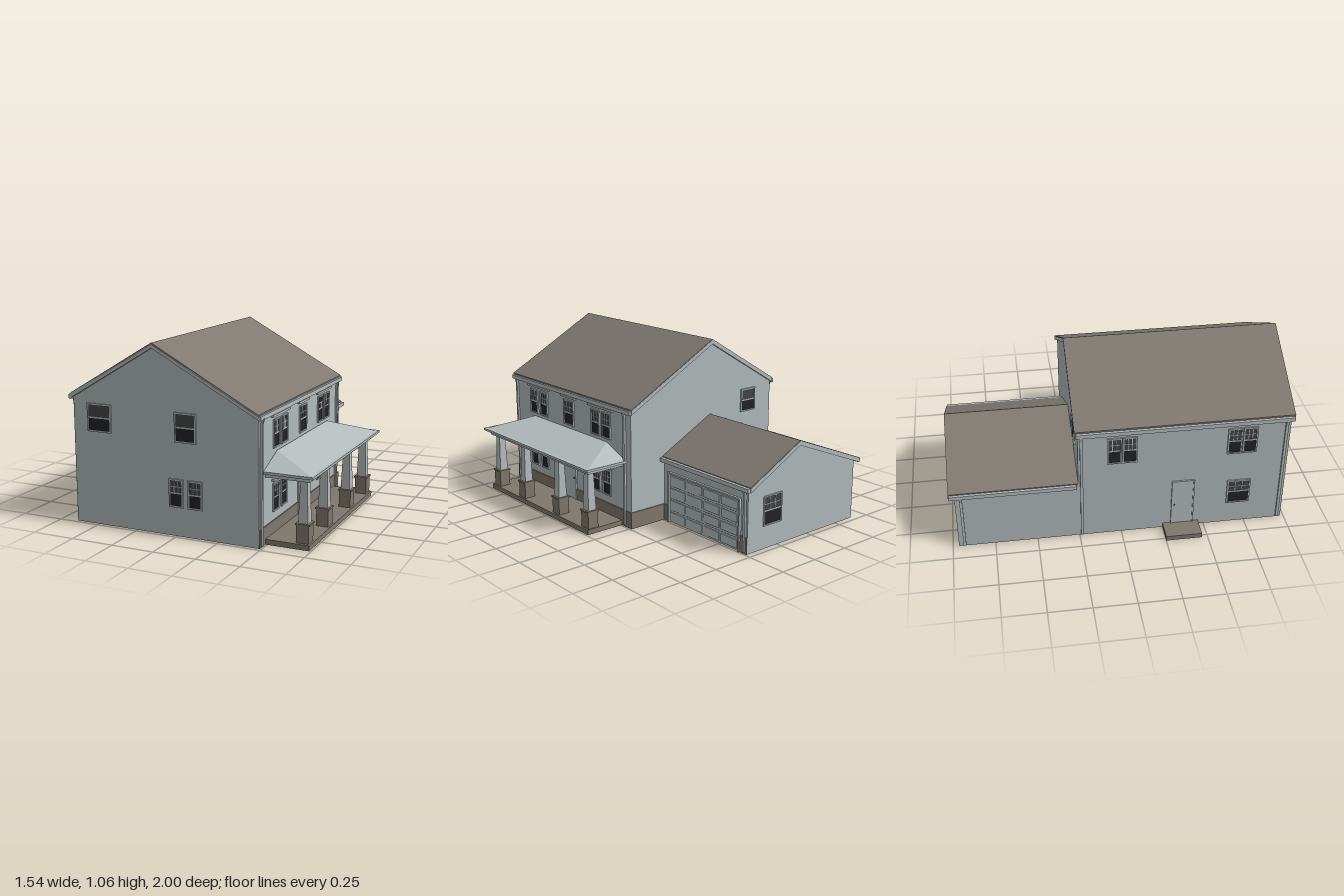
import * as THREE from 'three';

const mat = (name, color, side = THREE.FrontSide) => {
  const m = new THREE.MeshStandardMaterial({ color, side });
  m.name = name;
  return m;
};

export function createModel() {
  const siding = mat('siding', 0xb0b9bb, THREE.DoubleSide);
  const trim = mat('trim', 0xb4bcbe);
  const shingle = mat('shingle', 0x7f7971);
  const stone = mat('stone', 0x7f776d);
  const glass = mat('glass', 0x212324);
  const screen = mat('screenedGlass', 0x424544);

  const house = new THREE.Group();
  house.name = 'house';

  const add = (name, geo, material, parent = house) => {
    const m = new THREE.Mesh(geo, material);
    m.name = name;
    parent.add(m);
    return m;
  };
  // box given by its min and max on each axis
  const box = (name, material, x0, x1, y0, y1, z0, z1, parent = house) => {
    const m = add(name, new THREE.BoxGeometry(x1 - x0, y1 - y0, z1 - z0), material, parent);
    m.position.set((x0 + x1) / 2, (y0 + y1) / 2, (z0 + z1) / 2);
    return m;
  };
  const shape = (pts) => new THREE.Shape(pts.map(([x, y]) => new THREE.Vector2(x, y)));

  // ---- Walls: an open shell
  const L = -0.645, R = 0.485, G = 0.235, RIDGE = -0.13;
  const F = 0.98, B = -0.255, GB = -0.965;
  const endWall = (name, z, pts) => {
    add(name, new THREE.ShapeGeometry(shape(pts)), siding).position.z = z;
  };
  const sideWall = (name, x, h, z0, z1) => {
    const m = add(name, new THREE.PlaneGeometry(z1 - z0, h), siding);
    m.rotation.y = x > 0 ? Math.PI / 2 : -Math.PI / 2;
    m.position.set(x, h / 2, (z0 + z1) / 2);
  };
  endWall('frontGable', F, [[L, 0], [R, 0], [R, 0.71], [RIDGE, 1.045], [L, 0.735]]);
  endWall('backGable', B, [[G, 0], [R, 0], [R, 0.71], [RIDGE, 1.045], [L, 0.735], [L, 0.375], [RIDGE, 0.58], [G, 0.385]]);
  endWall('garageGable', GB, [[L, 0], [G, 0], [G, 0.385], [RIDGE, 0.58], [L, 0.375]]);
  sideWall('porchSideWall', R, 0.71, B, F);
  sideWall('rearSideWall', L, 0.735, B, F);
  sideWall('garageDoorWall', G, 0.385, GB, B);
  sideWall('garageRearWall', L, 0.375, GB, B);

  // ---- Roofs: thin shingled chevrons with rake boards at the ends
  const chevron = (name, material, [a, b, c], t, z0, z1) => {
    const geo = new THREE.ExtrudeGeometry(
      shape([a, b, c, [c[0], c[1] - t], [b[0], b[1] - t], [a[0], a[1] - t]]),
      { depth: z1 - z0, bevelEnabled: false });
    add(name, geo, material).position.z = z0;
  };
  const roof = (name, pts, z0, z1, ends) => {
    chevron(name, shingle, pts, 0.012, z0, z1);
    const lower = pts.map(([x, y]) => [x, y - 0.003]);
    for (const [a, b] of ends) chevron(name + 'RakeBoard', trim, lower, 0.026, a, b);
  };
  roof('mainRoof', [[-0.65, 0.75], [RIDGE, 1.06], [0.49, 0.725]], -0.27, 1, [[-0.272, -0.257], [0.982, 1]]);
  roof('garageRoof', [[-0.65, 0.39], [RIDGE, 0.595], [0.25, 0.4]], -0.998, B, [[-1, -0.967]]);

  // ---- Gutters and downspouts
  box('gutter', trim, -0.667, -0.647, 0.715, 0.74, -0.265, 0.995);
  box('gutter', trim, 0.485, 0.503, 0.692, 0.716, -0.265, 0.995);
  box('gutter', trim, -0.667, -0.647, 0.36, 0.384, -0.995, -0.265);
  box('gutter', trim, 0.236, 0.27, 0.372, 0.396, -0.995, -0.258);
  const downspout = (x, z, h) => {
    const s = Math.sign(x);
    const [x0, x1] = s > 0 ? [x, x + 0.012] : [x - 0.012, x];
    box('downspout', trim, x0, x1, 0.01, h - 0.03, z - 0.008, z + 0.008);
    const elbow = box('downspoutElbow', trim, x0, x1, h - 0.035, h, z - 0.008, z + 0.008);
    elbow.position.x += s * 0.004;
    elbow.rotation.z = -s * 0.25;
  };
  downspout(R, 0.955, 0.7);
  downspout(R, -0.2, 0.7);
  downspout(L, 0.955, 0.72);
  downspout(L, -0.235, 0.72);
  downspout(L, -0.93, 0.365);
  downspout(G, -0.945, 0.375);

  // ---- Stone skirting along the porch side
  box('stoneSkirt', stone, R - 0.003, R + 0.006, 0, 0.1, 0.43, F);
  box('stoneSkirt', stone, R - 0.003, R + 0.006, 0, 0.1, B - 0.006, 0.3);
  box('stoneSkirt', stone, G, R, 0, 0.1, B - 0.006, B + 0.003);
  box('stoneSkirt', stone, G - 0.003, G + 0.006, 0, 0.1, -0.305, B);
  box('stoneSkirt', stone, G - 0.003, G + 0.006, 0, 0.1, GB, -0.91);

  // ---- Windows, set through the wall so both faces show
  const windowUnit = (axis, wall, u, y0, y1, w, grid = true) => {
    const g = new THREE.Group();
    g.name = 'window';
    if (axis === 'x') {
      g.rotation.y = Math.PI / 2;
      g.position.set(wall, 0, u);
    } else g.position.set(u, 0, wall);
    house.add(g);
    const h = w / 2, mid = (y0 + y1) / 2, t = 0.008;
    box('lowerSash', glass, -h, h, y0, mid, -0.004, 0.004, g);
    box('upperSash', screen, -h, h, mid, y1, -0.004, 0.004, g);
    for (const s of [-1, 1]) {
      box('jamb', trim, s * (h + t / 2) - t / 2, s * (h + t / 2) + t / 2, y0 - t, y1 + t, -0.009, 0.009, g);
    }
    for (const y of [y0 - t, y1]) box('rail', trim, -h, h, y, y + t, -0.009, 0.009, g);
    box('meetingRail', trim, -h, h, mid - 0.004, mid + 0.004, -0.006, 0.006, g);
    if (!grid) return;
    for (const s of [-1, 1]) box('muntin', trim, s * w / 6 - 0.002, s * w / 6 + 0.002, mid, y1, -0.006, 0.006, g);
    const q = (mid + y1) / 2;
    box('muntin', trim, -h, h, q - 0.002, q + 0.002, -0.006, 0.006, g);
  };
  // front gable
  windowUnit('z', F, -0.478, 0.545, 0.69, 0.136, false);
  windowUnit('z', F, 0.058, 0.537, 0.685, 0.113, false);
  for (const x of [-0.002, 0.113]) windowUnit('z', F, x, 0.173, 0.316, 0.07);
  // porch side
  for (const z of [0.755, 0.642, 0.085, -0.022]) {
    windowUnit('x', R, z, 0.51, 0.652, 0.068);
    windowUnit('x', R, z + (z > 0.6 ? 0.004 : 0), 0.157, 0.3, 0.064);
  }
  windowUnit('x', R, 0.365, 0.51, 0.652, 0.09);
  for (const [z, y, w] of [[0.7, 0.676, 0.24], [0.365, 0.676, 0.155], [0.032, 0.676, 0.24], [0.7, 0.322, 0.22], [0.032, 0.322, 0.22]]) {
    box('windowHeader', trim, R, R + 0.014, y, y + 0.012, z - w / 2, z + w / 2);
  }
  // rear side
  for (const z of [-0.045, 0.045, 0.655, 0.745]) windowUnit('x', L, z, 0.52, 0.68, 0.07);
  windowUnit('x', L, 0.7, 0.155, 0.305, 0.125);
  // back gables
  windowUnit('z', B, -0.447, 0.57, 0.7, 0.105, false);
  windowUnit('z', GB, 0.045, 0.145, 0.305, 0.125);

  // ---- Doors
  for (const [name, x] of [['porchDoor', R], ['rearDoor', L]]) {
    box(name, trim, x - 0.005, x + 0.005, 0.03, 0.335, 0.305, 0.425);
    for (const z of [0.297, 0.425]) box(name + 'Jamb', trim, x - 0.01, x + 0.01, 0.03, 0.343, z, z + 0.008);
    box(name + 'Head', trim, x - 0.01, x + 0.01, 0.335, 0.343, 0.305, 0.425);
    add(name + 'Knob', new THREE.SphereGeometry(0.005, 10, 8), screen)
      .position.set(x + Math.sign(x) * 0.009, 0.17, 0.315);
  }

  // ---- Garage door with raised panels
  box('garageDoor', trim, G - 0.004, G + 0.004, 0.004, 0.305, -0.902, -0.312);
  for (const z of [-0.912, -0.312]) box('garageDoorJamb', trim, G - 0.008, G + 0.014, 0, 0.315, z, z + 0.01);
  box('garageDoorHead', trim, G - 0.008, G + 0.014, 0.305, 0.315, -0.902, -0.312);
  for (let r = 0; r < 4; r++) {
    if (r) box('garageDoorSeam', screen, G, G + 0.0046, r * 0.076, r * 0.076 + 0.002, -0.902, -0.312);
    for (let c = 0; c < 4; c++) {
      const z = -0.89 + c * 0.146, y = 0.015 + r * 0.076;
      box('garageDoorPanel', trim, G, G + 0.009, y, y + 0.05, z, z + 0.13);
    }
  }

  // ---- Porch: slab, piers, tapered columns, beams and hipped roof
  box('porchSlab', stone, R, 0.74, 0, 0.03, -0.17, 0.905);
  for (const z of [0.853, 0.553, 0.174, -0.126]) {
    const x = 0.694;
    box('pier', stone, x - 0.035, x + 0.035, 0.03, 0.128, z - 0.035, z + 0.035);
    box('pierCap', stone, x - 0.04, x + 0.04, 0.128, 0.137, z - 0.04, z + 0.04);
    const col = add('column', new THREE.CylinderGeometry(0.028, 0.039, 0.235, 4).toNonIndexed(), trim);
    col.geometry.rotateY(Math.PI / 4);
    col.geometry.computeVertexNormals();
    col.position.set(x, 0.253, z);
  }
  box('porchBeam', trim, 0.655, 0.738, 0.37, 0.4, -0.18, 0.9);
  for (const z of [-0.18, 0.82]) box('porchSideBeam', trim, R, 0.655, 0.37, 0.4, z, z + 0.08);
  box('porchFascia', trim, R, 0.768, 0.396, 0.41, -0.215, 0.935);
  const hip = new THREE.BoxGeometry(0.27, 0.075, 1.13);
  const p = hip.attributes.position;
  for (let i = 0; i < p.count; i++) {
    if (p.getY(i) > 0) p.setXYZ(i, -0.132, p.getY(i), Math.sign(p.getZ(i)) * 0.39);
  }
  hip.computeVertexNormals();
  add('porchRoof', hip, trim).position.set(0.622, 0.445, 0.36);

  // ---- Rear step
  box('rearStep', stone, -0.77, L, 0, 0.03, 0.25, 0.465);

  return house;
}
